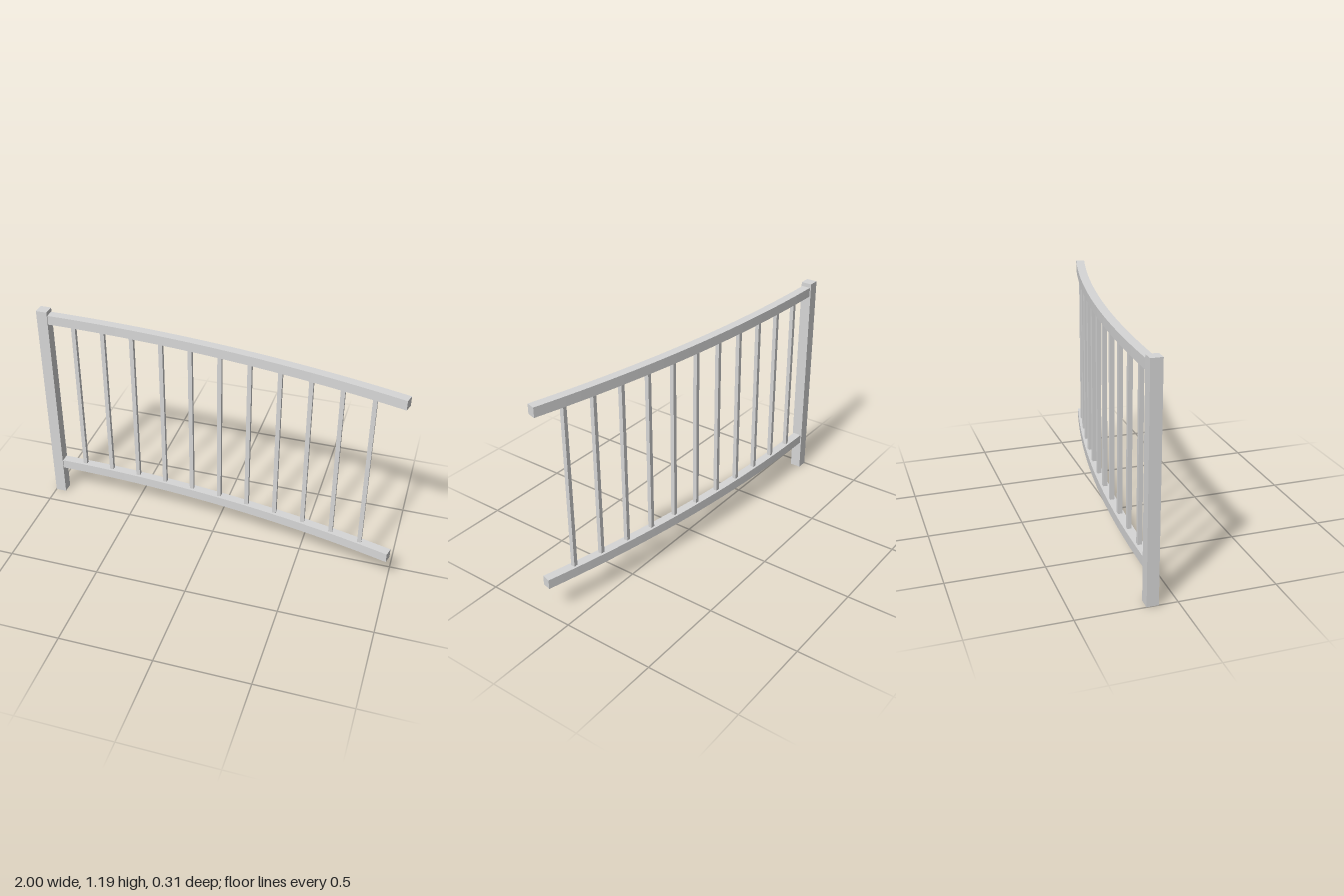
import * as THREE from 'three';

// The rails follow a 15 degree arc that starts at the post
const RADIUS = 7.585, SWEEP = Math.PI / 12, START_X = -0.97, START_Z = -0.125;
const BAYS = 12;

export function createModel() {
  const model = new THREE.Group();
  model.name = 'curvedRailing';
  const metal = new THREE.MeshStandardMaterial({ color: 0xd7d7d7 });
  metal.name = 'lightGreyMetal';

  function add(name, geometry, x, y, z) {
    const mesh = new THREE.Mesh(geometry, metal);
    mesh.name = name;
    mesh.position.set(x, y, z);
    model.add(mesh);
  }

  // Square end post
  add('post', new THREE.BoxGeometry(0.06, 1.193, 0.06), START_X, 1.193 / 2, START_Z);

  // Curved rails: a ring sector in plan, extruded upward
  const railWidth = 0.048, railHeight = 0.052;
  const a0 = -Math.PI / 2, a1 = a0 + SWEEP, centreZ = START_Z + RADIUS;
  const plan = new THREE.Shape();
  plan.absarc(START_X, centreZ, RADIUS + railWidth / 2, a0, a1, false);
  plan.absarc(START_X, centreZ, RADIUS - railWidth / 2, a1, a0, true);
  plan.closePath();
  const rail = new THREE.ExtrudeGeometry(plan, { depth: railHeight, bevelEnabled: false, curveSegments: BAYS });
  rail.rotateX(Math.PI / 2); // top face now lies at y = 0
  add('bottomRail', rail, 0, 0.222, 0);
  add('topRail', rail, 0, 1.171, 0);

  // Square balusters, evenly spaced along the arc and all facing the front
  const baluster = new THREE.BoxGeometry(0.022, 0.92, 0.022);
  for (let i = 1; i < BAYS; i++) {
    const t = (SWEEP * i) / BAYS;
    add('baluster' + i, baluster,
      START_X + RADIUS * Math.sin(t), 0.6715, START_Z + RADIUS * (1 - Math.cos(t)));
  }
  return model;
}
